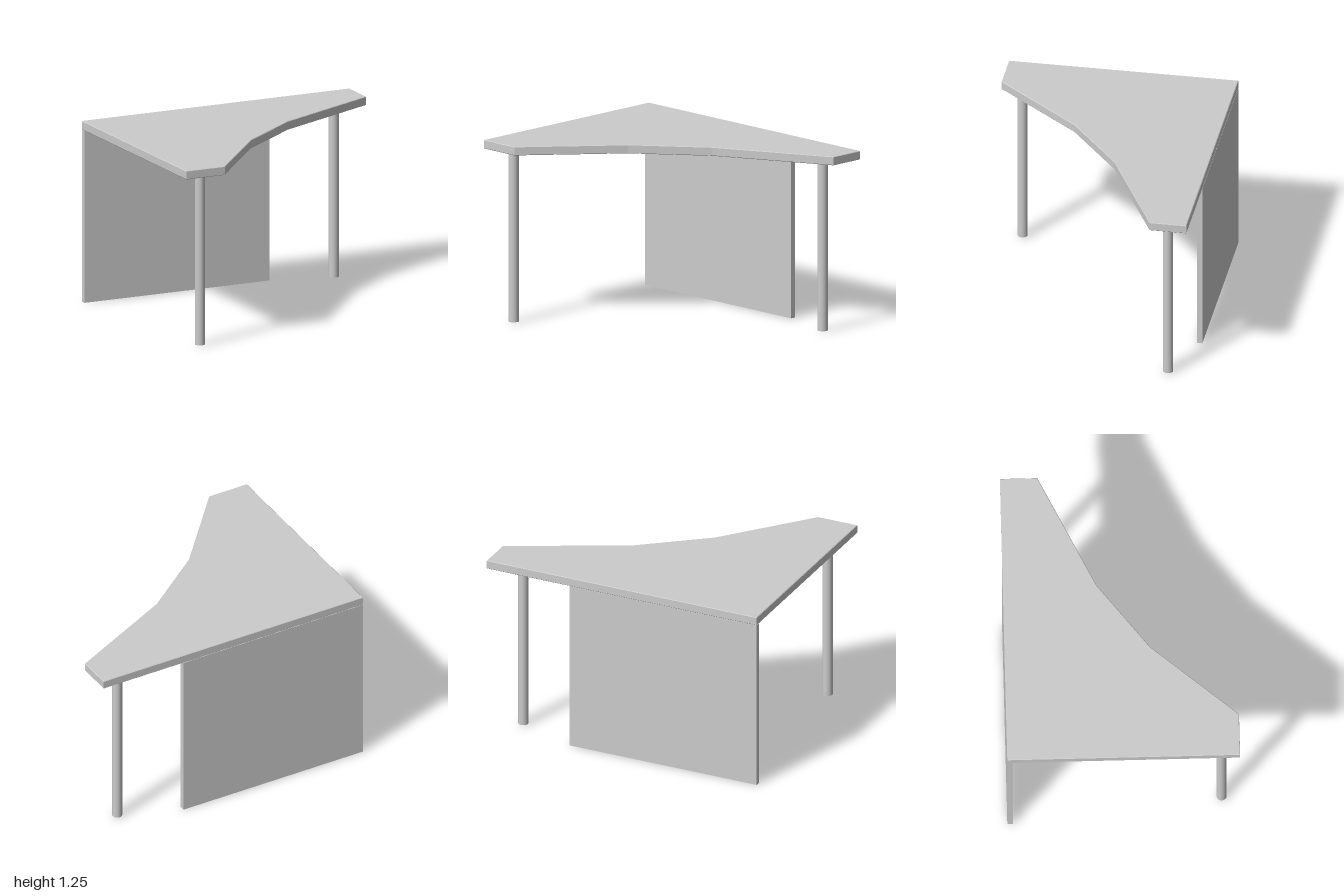
import * as THREE from 'three';

const material = new THREE.MeshStandardMaterial({ color: 0xcccccc });

function addPart(group, name, geometry, x = 0, y = 0, z = 0) {
  const mesh = new THREE.Mesh(geometry, material);
  mesh.name = name;
  mesh.position.set(x, y, z);
  group.add(mesh);
}

export function createModel() {
  const group = new THREE.Group();
  group.name = 'cornerDesk';
  const underside = 1.185, topHeight = 1.245, back = -0.78;

  // Corner worktop: outline in plan as [x, z], extruded upward with a fine eased edge
  const outline = [[-1, 0.775], [-0.71, 0.775], [-0.22, 0.195], [0.23, -0.155], [1, -0.53], [1, back], [-1, back]];
  const shape = new THREE.Shape(outline.map(([x, z]) => new THREE.Vector2(x, -z)));
  const ease = 0.004;
  const top = new THREE.ExtrudeGeometry(shape, {
    depth: topHeight - underside - 2 * ease,
    bevelThickness: ease, bevelSize: ease, bevelOffset: -ease, bevelSegments: 1,
  });
  top.rotateX(-Math.PI / 2);
  addPart(group, 'worktop', top, 0, underside + ease, 0);

  // Back panel standing on the floor, flush with the rear edge
  const panelEnd = 0.385, thickness = 0.038;
  addPart(group, 'backPanel', new THREE.BoxGeometry(panelEnd + 1, underside, thickness),
    (panelEnd - 1) / 2, underside / 2, back + thickness / 2);

  // Round legs under the two narrow ends
  const foot = 0.008;
  for (const [name, x, z] of [['rightLeg', -0.838, 0.655], ['leftLeg', 0.804, -0.622]]) {
    addPart(group, name, new THREE.CylinderGeometry(0.034, 0.034, underside - foot, 32),
      x, (underside + foot) / 2, z);
  }
  return group;
}
